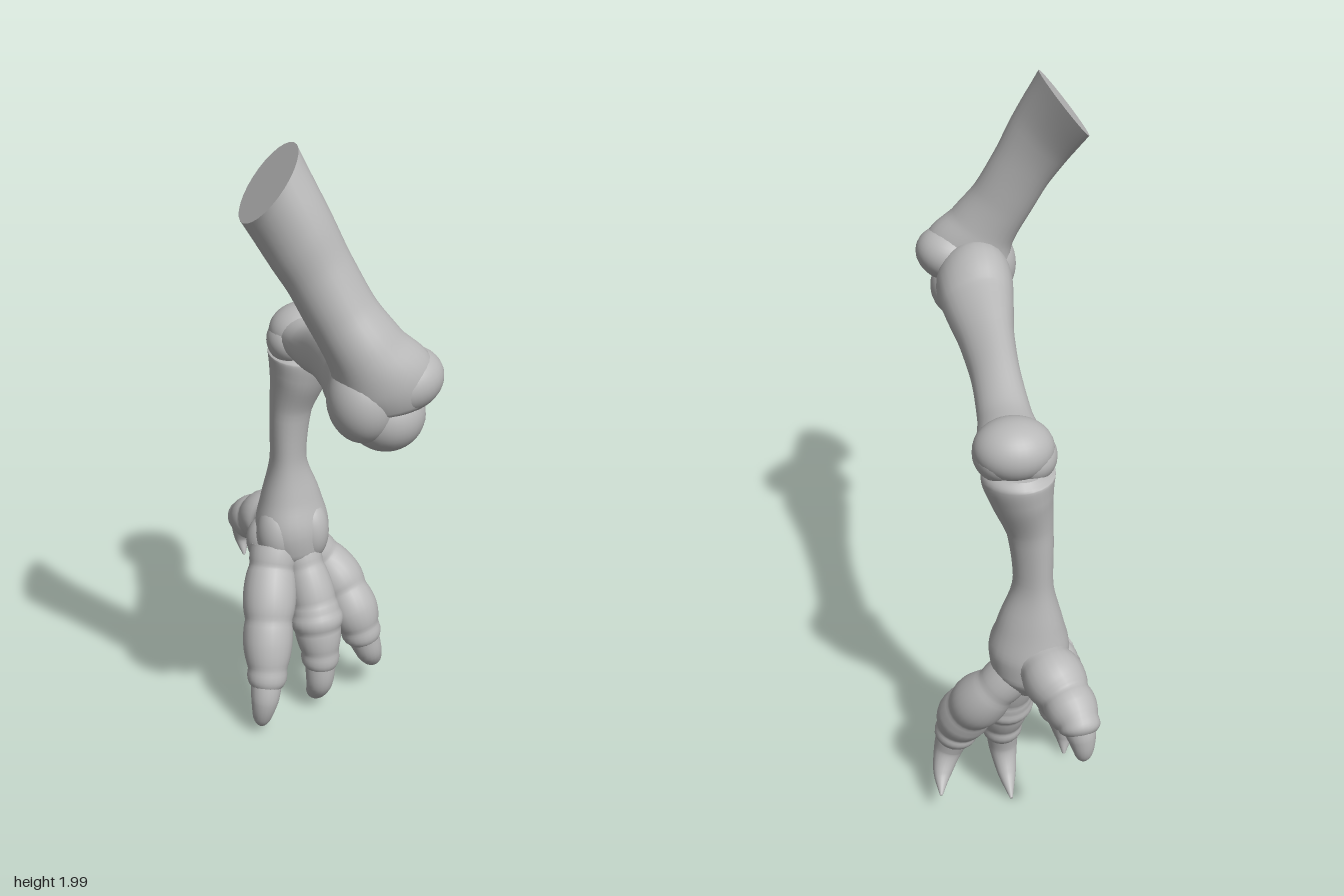
import * as THREE from 'three';

const V = (p) => new THREE.Vector3(p[0], p[1], p[2]);

// Sweeps an oval section along a smooth path. Each station: [x, y, z, sideRadius, otherRadius].
function sweep(stations, { side = [1, 0, 0], rows = 48, cols = 28, startNormal, lobes = 0, bumps = 0, roundEnd = 0 } = {}) {
  const path = new THREE.CatmullRomCurve3(stations.map(V));
  const size = new THREE.CatmullRomCurve3(stations.map((s) => new THREE.Vector3(s[3], s[4] ?? s[3], 0)));
  const pos = [], idx = [];
  for (let i = 0; i <= rows; i++) {
    const t = i / rows;
    const c = path.getPoint(t), r = size.getPoint(t), T = path.getTangent(t);
    if (startNormal) T.lerp(V(startNormal), 1 - THREE.MathUtils.smoothstep(t, 0, 0.4)).normalize();
    const S = V(side).addScaledVector(T, -V(side).dot(T)).normalize();
    const U = T.clone().cross(S);
    // rounded knuckles with narrow creases between them
    let k = 1 + bumps * (Math.abs(Math.cos(t * Math.PI * 3.2)) ** 0.7 - 0.6);
    if (roundEnd && t > 1 - roundEnd) k *= Math.sqrt(Math.max(0.001, 1 - ((t - 1 + roundEnd) / roundEnd) ** 2));
    for (let j = 0; j < cols; j++) {
      const a = (j / cols) * Math.PI * 2;
      const m = k * (1 + lobes * Math.cos(3 * a) * Math.sin(Math.PI * t));
      const p = c.clone().addScaledVector(S, Math.cos(a) * r.x * m).addScaledVector(U, Math.sin(a) * r.y * m);
      pos.push(p.x, p.y, p.z);
      if (i < rows) {
        const n = (j + 1) % cols, q = i * cols;
        idx.push(q + j, q + n, q + cols + n, q + j, q + cols + n, q + cols + j);
      }
    }
  }
  // flat caps with their own vertices, so the rims stay sharp
  for (const row of [0, rows]) {
    const c = path.getPoint(row / rows), base = pos.length / 3;
    for (let j = 0; j < cols; j++) pos.push(...pos.slice((row * cols + j) * 3, (row * cols + j) * 3 + 3));
    pos.push(c.x, c.y, c.z);
    for (let j = 0; j < cols; j++) {
      const n = (j + 1) % cols;
      if (row) idx.push(base + cols, base + j, base + n);
      else idx.push(base + cols, base + n, base + j);
    }
  }
  const g = new THREE.BufferGeometry();
  g.setAttribute('position', new THREE.Float32BufferAttribute(pos, 3));
  g.setIndex(idx);
  g.computeVertexNormals();
  return g;
}

export function createModel() {
  const model = new THREE.Group();
  const bone = new THREE.MeshStandardMaterial({ color: 0xb8b8b8 });
  bone.name = 'bone grey';

  const add = (name, geometry, parent = model) => {
    const mesh = new THREE.Mesh(geometry, bone);
    mesh.name = name;
    parent.add(mesh);
    return mesh;
  };
  const knob = (name, [x, y, z], [a, b, c], tilt = 0) => {
    const m = add(name, new THREE.SphereGeometry(1, 32, 22));
    m.position.set(x, y, z);
    m.scale.set(a, b, c);
    m.rotation.z = tilt;
  };

  // Upper bone, cut off at a slant at the top and spreading into the knee
  add('upperBone', sweep([
    [-0.2, 1.91, 0.37, 0.108, 0.112],
    [-0.145, 1.8, 0.42, 0.08, 0.1],
    [-0.095, 1.7, 0.447, 0.072, 0.088],
    [-0.045, 1.6, 0.472, 0.077, 0.088],
    [0.008, 1.51, 0.495, 0.09, 0.1],
    [0.05, 1.43, 0.5, 0.094, 0.132],
    [0.062, 1.375, 0.5, 0.08, 0.11],
    [0.065, 1.35, 0.5, 0.04, 0.06],
  ], { side: [-0.15, -0.2, 1], startNormal: [0.79, -0.61, 0], lobes: 0.03 }));
  knob('outerKneeKnob', [0.1, 1.43, 0.497], [0.104, 0.08, 0.096], 0.25);
  knob('innerKneeKnob', [-0.003, 1.385, 0.5], [0.086, 0.108, 0.092], 0.1);

  // Middle bone, running back to the ankle
  add('middleBone', sweep([
    [0.045, 1.36, 0.455, 0.09, 0.09],
    [0.045, 1.372, 0.4, 0.11, 0.128],
    [0.045, 1.349, 0.3, 0.1, 0.096],
    [0.045, 1.318, 0.15, 0.077, 0.081],
    [0.045, 1.288, 0, 0.068, 0.073],
    [0.045, 1.245, -0.15, 0.074, 0.066],
    [0.05, 1.235, -0.27, 0.095, 0.07],
  ], { lobes: 0.05 }));
  knob('middleBoneHead', [0.065, 1.335, 0.475], [0.1, 0.097, 0.105]);
  knob('ankleKnob', [0.048, 1.24, -0.29], [0.107, 0.082, 0.097]);
  knob('ankleInnerLobe', [0.005, 1.215, -0.285], [0.072, 0.068, 0.085]);
  knob('ankleOuterLobe', [0.085, 1.225, -0.285], [0.07, 0.07, 0.085]);

  // Lower bone, flaring towards the toes
  add('lowerBone', sweep([
    [0.035, 1.19, -0.295, 0.075, 0.085],
    [0.035, 1.165, -0.295, 0.098, 0.105],
    [0.025, 1.1, -0.297, 0.085, 0.095],
    [0.003, 0.99, -0.302, 0.062, 0.064],
    [-0.005, 0.84, -0.305, 0.054, 0.06],
    [0, 0.7, -0.305, 0.09, 0.082],
    [0.003, 0.6, -0.3, 0.112, 0.105],
    [0.01, 0.53, -0.3, 0.1, 0.1],
    [0.015, 0.47, -0.3, 0.05, 0.06],
  ], { lobes: 0.05 }));
  knob('rightFootKnuckle', [-0.048, 0.585, -0.272], [0.062, 0.1, 0.072]);
  knob('leftFootKnuckle', [0.056, 0.585, -0.276], [0.058, 0.1, 0.07]);
  knob('rightRearKnuckle', [-0.07, 0.54, -0.32], [0.062, 0.08, 0.065]);

  // Knuckled toes, each with a hooked claw
  const toes = {
    rightToe: {
      toe: [[-0.055, 0.54, -0.27, 0.07], [-0.075, 0.47, -0.235, 0.075], [-0.095, 0.38, -0.18, 0.078],
        [-0.11, 0.29, -0.135, 0.072], [-0.12, 0.21, -0.1, 0.063], [-0.13, 0.14, -0.085, 0.05]],
      claw: [[-0.122, 0.2, -0.095, 0.05], [-0.135, 0.13, -0.07, 0.043], [-0.144, 0.06, -0.075, 0.028], [-0.14, 0.008, -0.104, 0.004]],
    },
    middleToe: {
      toe: [[0.02, 0.53, -0.27, 0.06], [0.035, 0.46, -0.235, 0.063], [0.05, 0.37, -0.2, 0.068],
        [0.056, 0.29, -0.175, 0.068], [0.06, 0.21, -0.158, 0.061], [0.058, 0.14, -0.157, 0.048]],
      claw: [[0.06, 0.2, -0.155, 0.05], [0.056, 0.11, -0.15, 0.042], [0.052, 0.045, -0.195, 0.028], [0.05, 0.008, -0.27, 0.004]],
    },
    leftToe: {
      toe: [[0.055, 0.52, -0.31, 0.06], [0.11, 0.455, -0.3, 0.068], [0.152, 0.385, -0.265, 0.076],
        [0.18, 0.315, -0.225, 0.074], [0.2, 0.25, -0.207, 0.065], [0.215, 0.185, -0.205, 0.05]],
      claw: [[0.207, 0.23, -0.2, 0.052], [0.228, 0.165, -0.2, 0.042], [0.25, 0.11, -0.238, 0.027], [0.262, 0.08, -0.3, 0.004]],
    },
    backToe: {
      toe: [[-0.01, 0.59, -0.31, 0.07], [-0.035, 0.578, -0.39, 0.083], [-0.06, 0.55, -0.445, 0.077],
        [-0.078, 0.525, -0.495, 0.068], [-0.09, 0.505, -0.535, 0.06], [-0.095, 0.475, -0.56, 0.042]],
      claw: [[-0.085, 0.52, -0.53, 0.05], [-0.095, 0.475, -0.55, 0.04], [-0.1, 0.42, -0.555, 0.025], [-0.1, 0.372, -0.525, 0.004]],
    },
  };
  for (const [name, { toe, claw }] of Object.entries(toes)) {
    const group = new THREE.Group();
    group.name = name;
    add(name + 'Knuckles', sweep(toe, { cols: 24, bumps: 0.14, roundEnd: 0.15 }), group);
    add(name + 'Claw', sweep(claw, { cols: 20, rows: 24 }), group);
    model.add(group);
  }
  return model;
}
